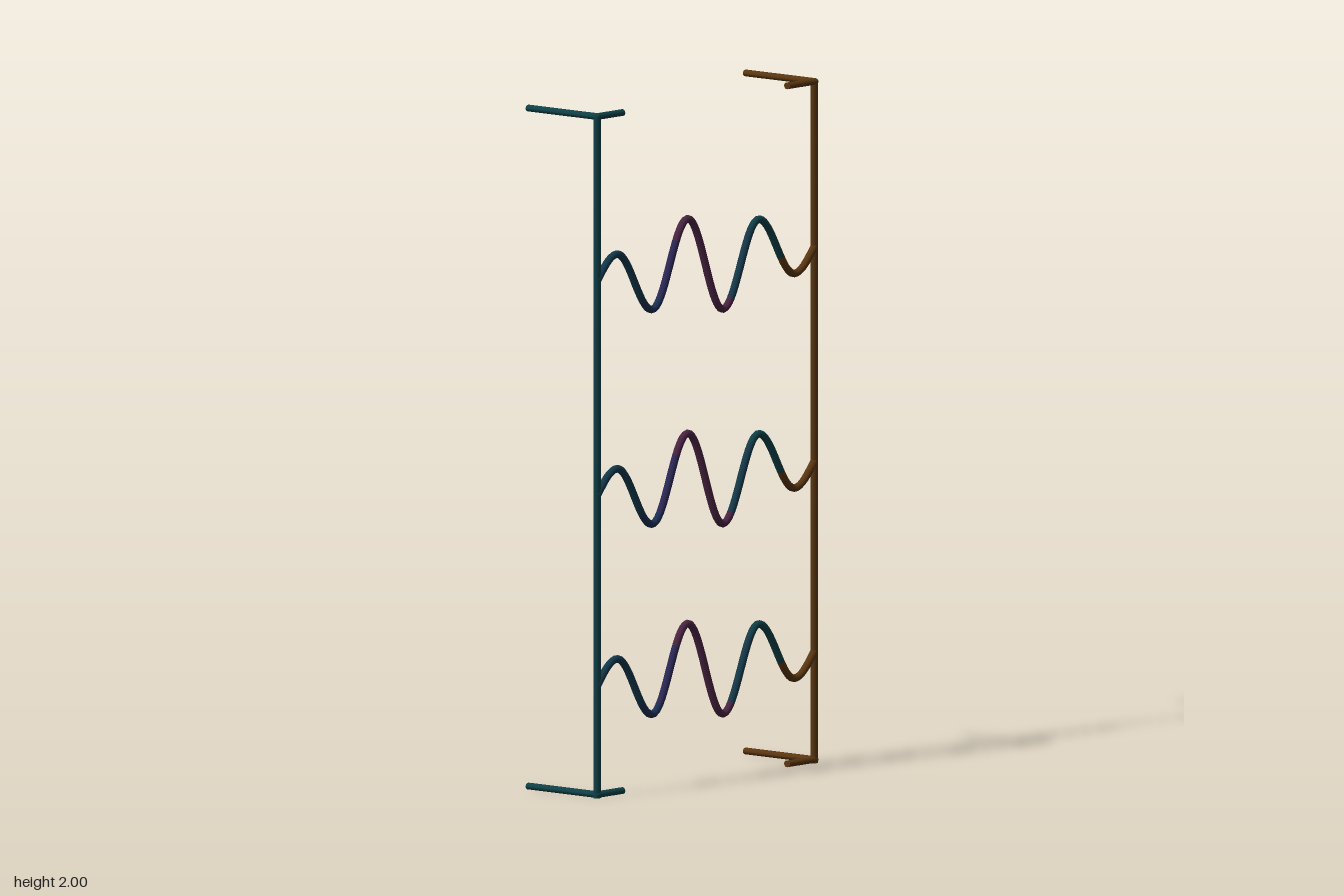
import * as THREE from 'three';

const makeMat = (name, color) => {
  const m = new THREE.MeshStandardMaterial({ color });
  m.name = name;
  return m;
};

// Height profile of a wavy rung: crests and troughs joined by half cosines
const EXTREMES = [
  [-0.545, -0.04], [-0.39, 0.08], [-0.235, -0.098], [-0.08, 0.15],
  [0.075, -0.13], [0.23, 0.115], [0.388, -0.06], [0.545, 0.06],
];
class Wave extends THREE.Curve {
  getPoint(t, target = new THREE.Vector3()) {
    const x = -0.475 + 0.95 * t;
    let k = 0;
    while (k < EXTREMES.length - 2 && x > EXTREMES[k + 1][0]) k++;
    const [x0, y0] = EXTREMES[k], [x1, y1] = EXTREMES[k + 1];
    const s = 0.5 - 0.5 * Math.cos(Math.PI * (x - x0) / (x1 - x0));
    return target.set(x, y0 + (y1 - y0) * s, 0);
  }
}

export function createModel() {
  const group = new THREE.Group();
  const teal = makeMat('teal', 0x0e4047);
  const brown = makeMat('brown', 0x5a3610);
  const rungMats = [
    makeMat('deepBlue', 0x11384c), makeMat('blue', 0x1a2f55), makeMat('indigo', 0x2b2856),
    makeMat('plum', 0x4a2443), makeMat('blueTeal', 0x15394a), teal, brown,
  ];
  const limits = [-0.28, -0.2, -0.13, 0.11, 0.2, 0.33, 1]; // right end of each rung colour
  const Z = 0.124, R = 0.0125;

  // Straight round bar along one axis, slightly flattened
  const addBar = (name, mat, axis, length, x, y, z, rx, rz) => {
    const g = new THREE.CylinderGeometry(1, 1, length, 12);
    g.scale(rx, 1, rz);
    if (axis === 'x') g.rotateZ(Math.PI / 2);
    if (axis === 'z') g.rotateX(Math.PI / 2);
    const m = new THREE.Mesh(g, mat);
    m.name = name;
    m.position.set(x, y, z);
    group.add(m);
  };

  // Side posts, each with a hooked arm and an inward foot at both ends
  for (const side of [-1, 1]) {
    const mat = side < 0 ? teal : brown;
    const label = side < 0 ? 'right' : 'left';
    const x = side * 0.475;
    addBar(label + 'Post', mat, 'y', 1.99, x, 1.0, Z, R, 0.0095);
    for (const [end, y] of [['Upper', 1.99], ['Lower', 0.015]]) {
      const inner = side < 0 ? 0.365 : 0.355;
      addBar(label + end + 'BackArm', mat, 'z', Z + 0.14, x, y, (Z - 0.14) / 2, R, 0.01);
      addBar(label + end + 'InwardArm', mat, 'x', 0.475 - inner,
        side * (0.475 + inner) / 2, y, Z, 0.01, 0.0115);
      // Rounded corner where the three bars meet
      const corner = new THREE.Mesh(new THREE.SphereGeometry(1, 12, 8), mat);
      corner.name = label + end + 'Corner';
      corner.scale.set(R, 0.01, 0.0115);
      corner.position.set(x, y, Z);
      group.add(corner);
    }
  }

  // Wavy rungs, coloured in bands along their length
  const wave = new Wave();
  const N = 140, SIDES = 10;
  const rungGeo = new THREE.TubeGeometry(wave, N, 0.0112, SIDES, false);
  let start = 0;
  limits.forEach((limit, band) => {
    let end = start;
    while (end < N && wave.getPointAt((end + 0.5) / N).x < limit) end++;
    rungGeo.addGroup(start * SIDES * 6, (end - start) * SIDES * 6, band);
    start = end;
  });
  [['upperRung', 1.5], ['middleRung', 0.875], ['lowerRung', 0.321]].forEach(([name, y]) => {
    const rung = new THREE.Mesh(rungGeo, rungMats);
    rung.name = name;
    rung.position.set(0, y, Z);
    group.add(rung);
  });

  return group;
}
